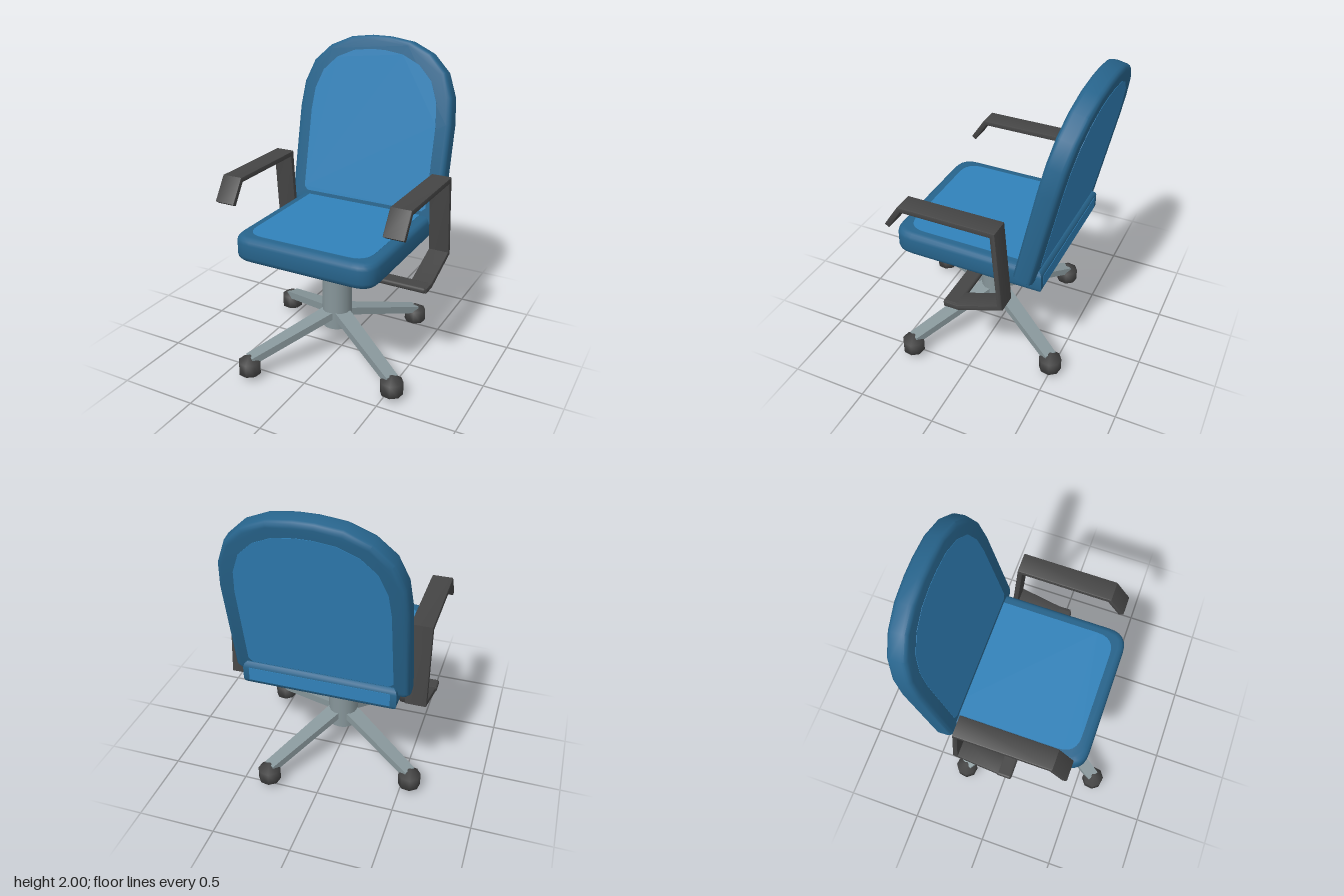
import * as THREE from 'three';
import { toCreasedNormals } from 'three/addons/utils/BufferGeometryUtils.js';
import { RoundedBoxGeometry } from 'three/addons/geometries/RoundedBoxGeometry.js';

const material = (name, color, side = THREE.FrontSide) => {
  const m = new THREE.MeshStandardMaterial({ color, side });
  m.name = name;
  return m;
};

function addMesh(parent, name, geometry, mat) {
  const mesh = new THREE.Mesh(geometry, mat);
  mesh.name = name;
  parent.add(mesh);
  return mesh;
}

// Extrusion centred on its depth, with a rounded edge kept inside the outline
function cushion(shape, depth, bevel, segments = 3) {
  const g = new THREE.ExtrudeGeometry(shape, {
    depth: depth - 2 * bevel, bevelEnabled: bevel > 0, bevelThickness: bevel, bevelSize: bevel,
    bevelOffset: -bevel, bevelSegments: segments, curveSegments: 6,
  });
  g.translate(0, 0, -(depth - 2 * bevel) / 2);
  return toCreasedNormals(g, 0.6);
}

// Arched outline from its right half, mirrored
function archShape(scaleX = 1, scaleY = 1, offsetY = 0) {
  const half = [[0.515, 0], [0.545, 0.03], [0.545, 0.66], [0.527, 0.83], [0.467, 0.98],
    [0.355, 1.088], [0.21, 1.152], [0.06, 1.172]];
  const points = half.concat(half.map(([x, y]) => [-x, y]).reverse());
  return new THREE.Shape(points.map(([x, y]) => new THREE.Vector2(x * scaleX, y * scaleY + offsetY)));
}

// Rectangle with only its front (lower) corners rounded
function seatShape(halfWidth, back, front, r) {
  const s = new THREE.Shape();
  s.moveTo(-halfWidth, back);
  s.lineTo(-halfWidth, front + r);
  s.quadraticCurveTo(-halfWidth, front, -halfWidth + r, front);
  s.lineTo(halfWidth - r, front);
  s.quadraticCurveTo(halfWidth, front, halfWidth, front + r);
  s.lineTo(halfWidth, back);
  s.closePath();
  return s;
}

// Constant-thickness strip along a bent path, with mitred corners
function stripShape(path, thickness) {
  const pts = path.map(([a, b]) => new THREE.Vector2(a, b));
  const normal = (a, b) => {
    const d = b.clone().sub(a).normalize();
    return new THREE.Vector2(-d.y, d.x);
  };
  const near = [], far = [];
  pts.forEach((p, i) => {
    const n1 = normal(pts[Math.max(i - 1, 0)], pts[Math.max(i, 1)]);
    const last = pts.length - 1;
    const n2 = normal(pts[Math.min(i, last - 1)], pts[Math.min(i + 1, last)]);
    const m = n1.clone().add(n2).normalize();
    m.multiplyScalar(thickness / 2 / m.dot(n1));
    near.push(p.clone().add(m));
    far.push(p.clone().sub(m));
  });
  return new THREE.Shape(near.concat(far.reverse()));
}

export function createModel() {
  const model = new THREE.Group();
  model.name = 'officeChair';
  const panelBlue = material('panel blue', 0x3182ba);
  const rimBlue = material('rim blue', 0x27648c);
  const metal = material('grey metal', 0x87969a);
  const black = material('black plastic', 0x454545);
  const cx = -0.01, cz = 0.05;

  // Seat cushion with a lighter top and rear strip
  const seat = new THREE.Group();
  seat.name = 'seat';
  seat.position.x = cx;
  model.add(seat);
  const body = cushion(seatShape(0.478, 0.47, -0.53, 0.13), 0.16, 0.04);
  addMesh(seat, 'seatCushion', body.rotateX(-Math.PI / 2), rimBlue).position.y = 0.84;
  const top = cushion(seatShape(0.41, 0.43, -0.455, 0.12), 0.006, 0);
  addMesh(seat, 'seatTopPanel', top.rotateX(-Math.PI / 2), panelBlue).position.y = 0.919;
  addMesh(seat, 'seatRearPanel', new THREE.BoxGeometry(0.88, 0.085, 0.006), panelBlue)
    .position.set(0, 0.84, -0.469);

  // Reclined backrest with a lighter panel on both faces
  const back = new THREE.Group();
  back.name = 'backrest';
  back.position.set(-0.014, 0.845, -0.365);
  back.rotation.x = -0.211;
  model.add(back);
  addMesh(back, 'backCushion', cushion(archShape(), 0.125, 0.03), rimBlue);
  for (const [name, side] of [['backFrontPanel', 1], ['backRearPanel', -1]]) {
    addMesh(back, name, cushion(archShape(0.825, 0.846, 0.09), 0.006, 0), panelBlue)
      .position.z = side * 0.0615;
  }

  // Bent armrests, each with a bar running in to the column
  const armPath = [[0.445, 1.085], [0.355, 1.222], [-0.235, 1.222], [-0.28, 0.715], [0, 0.613], [0.09, 0.613]];
  for (const [name, side] of [['left', 1], ['right', -1]]) {
    const arm = cushion(stripShape(armPath, 0.034), 0.135, 0.008, 2);
    addMesh(model, name + 'Armrest', arm.rotateY(-Math.PI / 2), black).position.x = side * 0.565 - 0.003;
    addMesh(model, name + 'ArmBar', new RoundedBoxGeometry(0.56, 0.036, 0.1, 2, 0.015), black)
      .position.set(side * 0.352 - 0.01, 0.613, 0.05);
  }

  // Central column
  addMesh(model, 'column', new THREE.CylinderGeometry(0.098, 0.098, 0.57, 16), metal)
    .position.set(cx, 0.487, 0.043);

  // Four tapered legs ending in faceted casters
  const reach = 0.642;
  for (let i = 0; i < 4; i++) {
    const leg = new THREE.Group();
    leg.name = 'leg' + (i + 1);
    leg.position.set(-0.005, 0, cz + 0.003);
    leg.rotation.y = Math.atan2(-0.33, 0.55) + i * Math.PI / 2;
    model.add(leg);
    const bar = new THREE.BoxGeometry(0.1, 0.05, reach);
    const p = bar.attributes.position;
    for (let k = 0; k < p.count; k++) {
      const t = p.getZ(k) / reach + 0.5;
      p.setX(k, p.getX(k) * (1.1 - 0.3 * t));
      p.setY(k, p.getY(k) + 0.315 - 0.185 * t);
    }
    bar.translate(0, 0, reach / 2);
    bar.computeVertexNormals();
    addMesh(leg, 'legBar', bar, metal);
    addMesh(leg, 'caster', new THREE.SphereGeometry(0.083, 8, 3), black).position.set(0, 0.083, reach);
  }
  return model;
}
